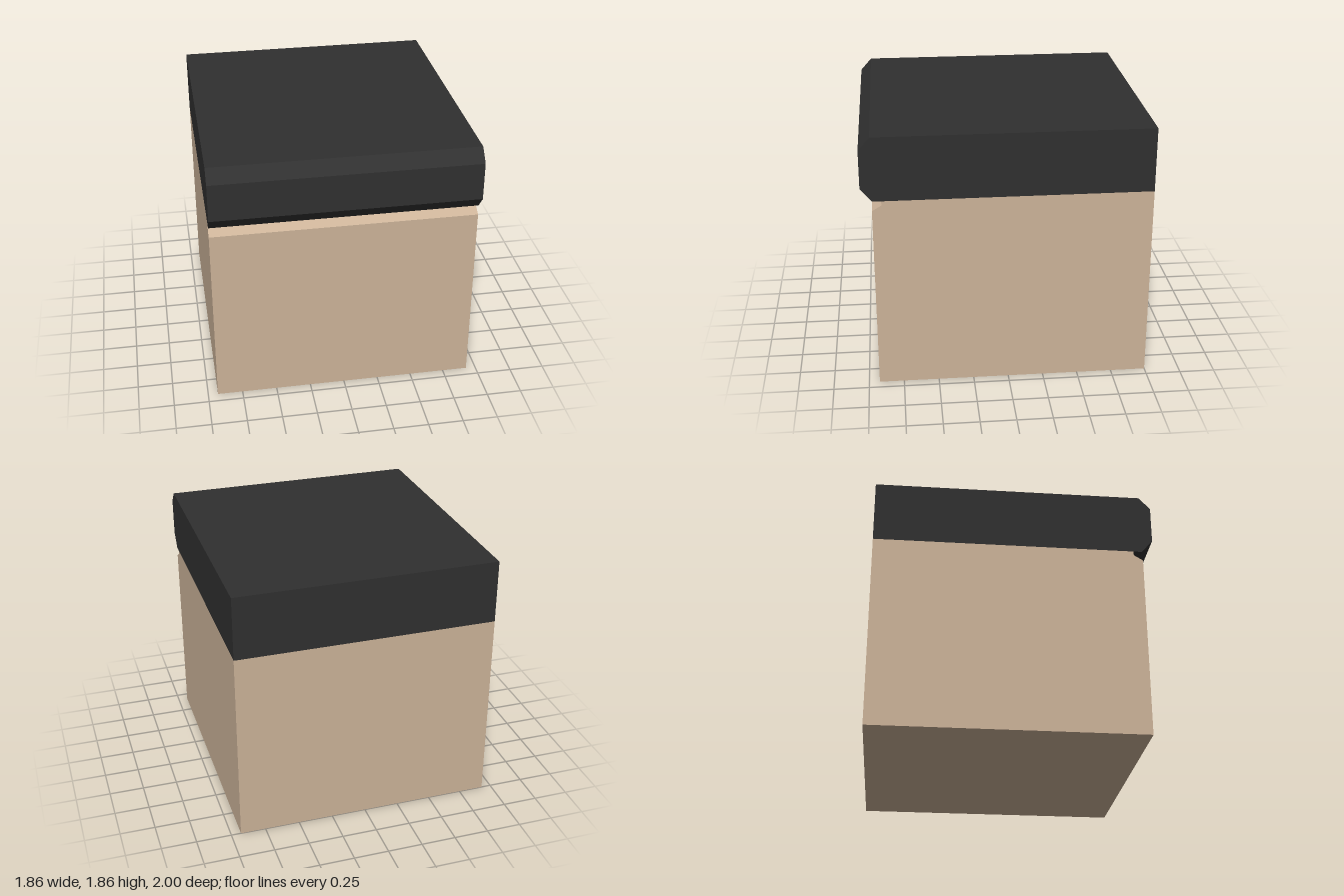
import * as THREE from 'three';

const WIDTH = 1.86;

// Extrudes a side profile of [z, y] points across the full width, centred on x = 0
function profilePart(name, points, material) {
  const shape = new THREE.Shape(points.map(([z, y]) => new THREE.Vector2(z, y)));
  const geometry = new THREE.ExtrudeGeometry(shape, { depth: WIDTH, bevelEnabled: false });
  geometry.translate(0, 0, -WIDTH / 2);
  geometry.rotateY(-Math.PI / 2);
  const mesh = new THREE.Mesh(geometry, material);
  mesh.name = name;
  return mesh;
}

export function createModel() {
  const wood = new THREE.MeshStandardMaterial({ name: 'tan wood', color: 0xccb399 });
  const black = new THREE.MeshStandardMaterial({ name: 'black counter', color: 0x303030 });

  const model = new THREE.Group();
  model.name = 'counterCabinet';

  // Cabinet body with a sloped finger groove along the top front edge
  model.add(profilePart('body', [
    [-1, 0], [0.925, 0], [0.925, 1.335], [0.86, 1.375], [0.86, 1.405], [-1, 1.405],
  ], wood));

  // Thick top slab with a chamfered, overhanging front edge
  model.add(profilePart('top', [
    [-1, 1.405], [0.92, 1.405], [1, 1.5], [1, 1.77], [0.92, 1.86], [-1, 1.86],
  ], black));

  return model;
}
